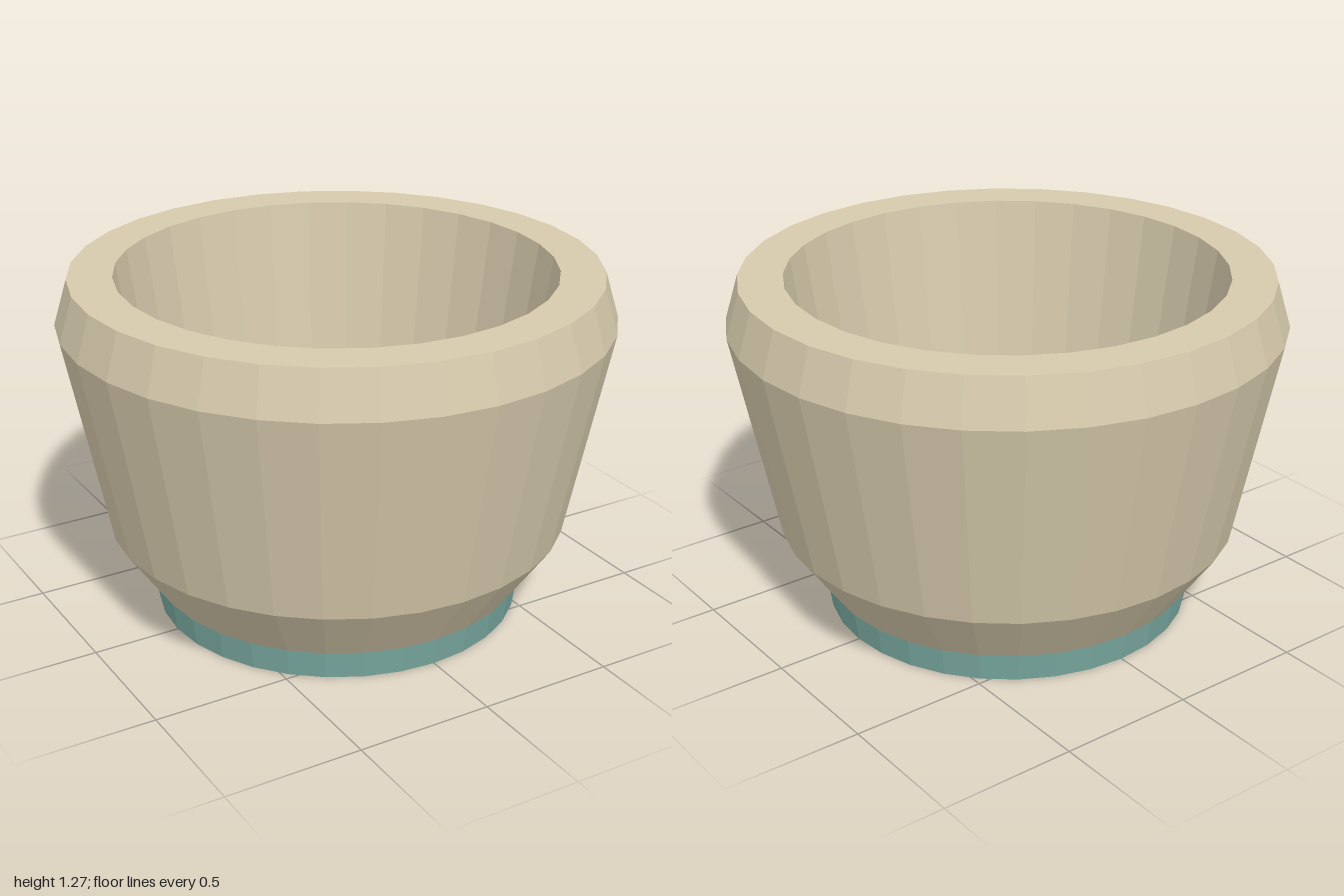
import * as THREE from 'three';

const SIDES = 32;

// Faceted solid of revolution from [radius, height] points
function turned(name, profile, material) {
  const points = profile.map(([r, y]) => new THREE.Vector2(r, y));
  const geometry = new THREE.LatheGeometry(points, SIDES).toNonIndexed();
  geometry.computeVertexNormals();
  const mesh = new THREE.Mesh(geometry, material);
  mesh.name = name;
  return mesh;
}

export function createModel() {
  const clay = new THREE.MeshStandardMaterial({ color: 0xd6caac });
  clay.name = 'pale clay';
  const teal = new THREE.MeshStandardMaterial({ color: 0x7aaaa1 });
  teal.name = 'muted teal';

  const group = new THREE.Group();
  group.name = 'bowl';

  // Outer wall with chamfered foot and bevelled lip
  group.add(turned('outerWall', [[0.69, 0.105], [0.845, 0.33], [1, 1.11], [0.95, 1.275]], clay));

  // Flat rim
  group.add(turned('rim', [[0.95, 1.275], [0.79, 1.275]], clay));

  // Hollow: tapering wall, sloping floor and small flat centre
  group.add(turned('innerWall', [[0.79, 1.275], [0.675, 0.48]], clay));
  group.add(turned('innerFloor', [[0.675, 0.48], [0.2, 0.12], [0, 0.12]], clay));

  // Coloured foot band with its narrow underside ring
  group.add(turned('footBand', [[0.61, 0], [0.675, 0], [0.69, 0.105]], teal));

  // Clay underside inside the foot
  group.add(turned('underside', [[0, 0], [0.61, 0]], clay));

  return group;
}
